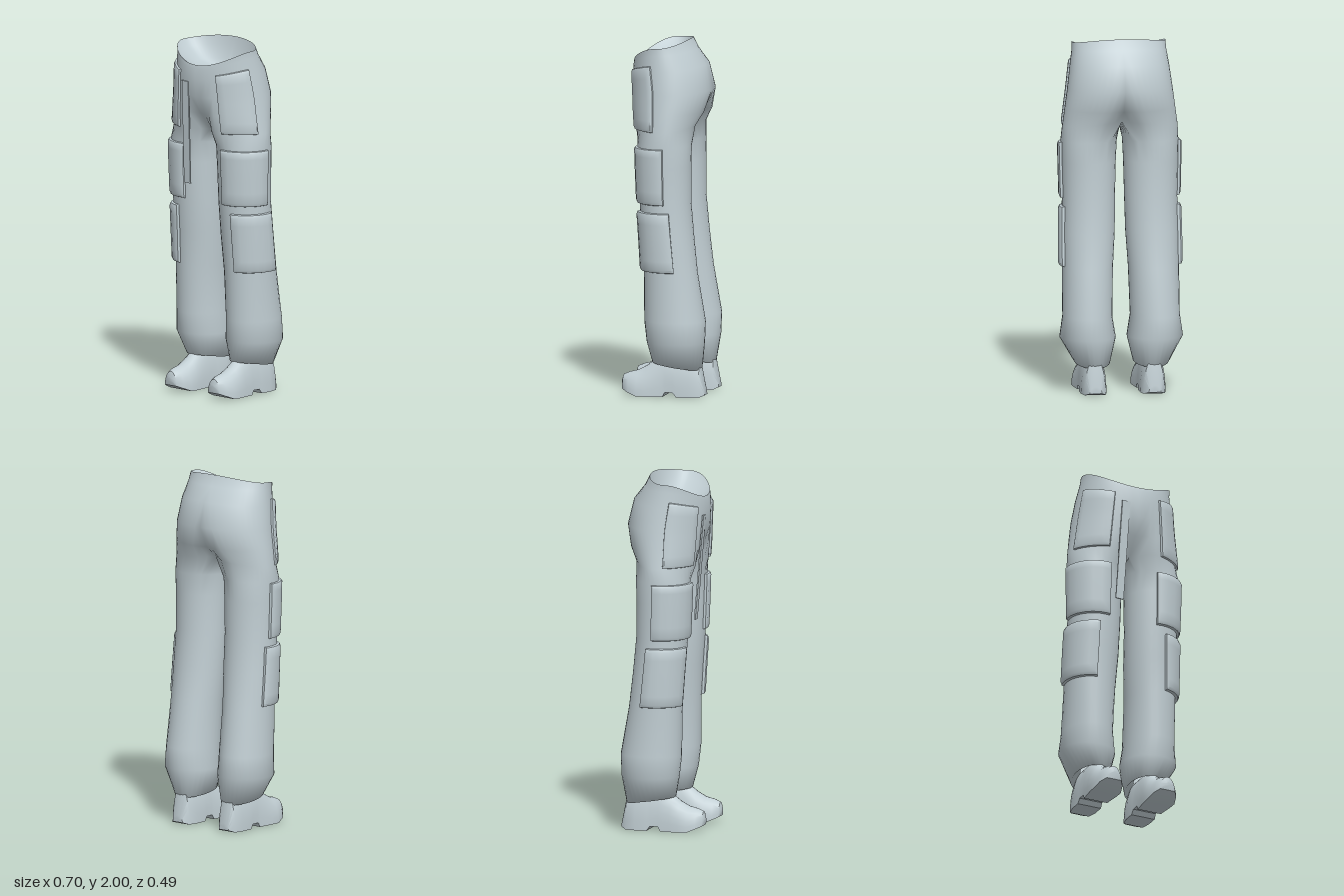
import * as THREE from 'three';
import { mergeGeometries, mergeVertices, toCreasedNormals } from 'three/addons/utils/BufferGeometryUtils.js';

// Torso sections: y front/side/back, half width, z front/side/back, pinch at the centre line
const TORSO = [
  [1.88, 1.97, 2.0, 0.265, 0.205, 0.03, -0.11, 0],
  [1.86, 1.93, 1.94, 0.266, 0.21, 0.02, -0.14, 0],
  [1.8, 1.84, 1.86, 0.28, 0.215, 0, -0.205, 0],
  [1.7, 1.71, 1.72, 0.297, 0.21, -0.02, -0.24, 0],
  [1.6, 1.6, 1.6, 0.312, 0.205, -0.02, -0.22, 0.18],
  [1.5, 1.5, 1.53, 0.326, 0.195, -0.02, -0.18, 0.5],
];
// Leg sections: y front/back, centre x, half width, z front/back
const LEG = [
  [1.42, 1.42, 0.174, 0.158, 0.152, -0.152],
  [1.3, 1.3, 0.176, 0.154, 0.148, -0.15],
  [1.1, 1.1, 0.176, 0.149, 0.14, -0.15],
  [0.9, 0.9, 0.18, 0.149, 0.125, -0.168],
  [0.7, 0.7, 0.187, 0.143, 0.112, -0.19],
  [0.43, 0.43, 0.191, 0.139, 0.11, -0.238],
  [0.31, 0.31, 0.19, 0.158, 0.095, -0.232],
  [0.19, 0.15, 0.166, 0.1, 0.07, -0.212],
  [0.23, 0.22, 0.166, 0.05, 0.02, -0.15],
];
const LAST_TORSO = TORSO.length - 1;
const lerp = THREE.MathUtils.lerp;

// u runs 0..1 from front round the outside to the back, 1..4/3 along the inner leg
function torsoPoint([yF, yS, yB, rx, zF, zS, zB, pinch], u) {
  const a = Math.PI * Math.min(u, 1), c = Math.cos(a);
  const x = u >= 1 ? 0 : rx * Math.sin(a);
  const k = 1 - pinch * Math.exp(-((x / 0.07) ** 2));
  const front = zS + (zF - zS) * (1 - pinch), back = zS + (zB - zS) * (1 - pinch);
  if (u > 1) return new THREE.Vector3(0, lerp(yB, yF, (u - 1) * 3), lerp(back, front, (u - 1) * 3));
  const z = zS + (c > 0 ? zF - zS : zS - zB) * c * k;
  return new THREE.Vector3(x, yS + ((c > 0 ? yF : yB) - yS) * c * c, z);
}

function legPoint([yF, yB, cx, rx, zF, zB], u) {
  const a = (-45 + 270 * u) * Math.PI / 180, c = Math.cos(a);
  return new THREE.Vector3(cx + rx * Math.sin(a), lerp(yB, yF, (c + 1) / 2), lerp(zB, zF, (c + 1) / 2));
}

const sectionPoint = (i, u) => (i <= LAST_TORSO ? torsoPoint(TORSO[i], u) : legPoint(LEG[i - LAST_TORSO - 1], u));

// Point on the cloth at fractional section k, pushed outward by an offset
function clothPoint(k, u, offset) {
  const i = Math.floor(k), p = sectionPoint(i, u);
  if (k > i) p.lerp(sectionPoint(i + 1, u), k - i);
  const onLeg = k > LAST_TORSO;
  const centre = new THREE.Vector3(onLeg ? 0.18 : 0.05, p.y, onLeg ? -0.02 : 0);
  return p.add(p.clone().sub(centre).normalize().multiplyScalar(offset));
}

// Surface through a grid of points; side = -1 mirrors it
function gridGeometry(rows, side = 1, keep = () => true) {
  const n = rows[0].length, index = [];
  const pos = rows.flat().flatMap((p) => [p.x * side, p.y, p.z]);
  for (let r = 0; r < rows.length - 1; r++) {
    for (let c = 0; c < n - 1; c++) {
      if (!keep(r, c)) continue;
      const a = r * n + c, b = a + 1, d = a + n, e = d + 1;
      if (side > 0) index.push(a, d, b, b, d, e);
      else index.push(a, b, d, b, e, d);
    }
  }
  const g = new THREE.BufferGeometry();
  g.setAttribute('position', new THREE.Float32BufferAttribute(pos, 3));
  g.setIndex(index);
  return g;
}

// Raised pocket panel following the cloth, with turned-down edges
function pocketGeometry(side, k0, k1, u0, u1, height) {
  const steps = [0, 0.015, 0.06, 0.2, 0.35, 0.5, 0.65, 0.8, 0.94, 0.985, 1];
  const edge = (t) => (t === 0 || t === 1 ? 0 : t < 0.03 || t > 0.97 ? 0.75 : 1);
  const rows = steps.map((r) => steps.map((c) =>
    clothPoint(lerp(k0, k1, r), lerp(u0, u1, c), -0.006 + (height + 0.006) * Math.min(edge(r), edge(c)))));
  return toCreasedNormals(gridGeometry(rows, side), 0.7);
}

// Shoe sections: z, half width, sole y, top y
const SHOE = [
  [0.245, 0.015, 0.065, 0.085],
  [0.235, 0.045, 0.035, 0.115],
  [0.2, 0.07, 0.02, 0.13],
  [0.15, 0.083, 0, 0.142],
  [0.1, 0.082, 0, 0.17],
  [0.05, 0.077, 0, 0.21],
  [0.0, 0.072, 0, 0.24],
  [-0.015, 0.07, 0.026, 0.24],
  [-0.06, 0.07, 0.026, 0.24],
  [-0.08, 0.072, 0, 0.24],
  [-0.15, 0.072, 0, 0.24],
  [-0.205, 0.06, 0, 0.21],
  [-0.235, 0.035, 0.012, 0.05],
];

function shoeGeometry(side) {
  const rows = SHOE.map(([z, w, y0, y1]) => {
    const ring = [];
    for (let i = 0; i <= 14; i++) {
      const a = Math.PI * i / 14;
      ring.push(new THREE.Vector3(0.167 + w * Math.cos(a), lerp(y0, y1, Math.sin(a)), z));
    }
    ring.push(ring[0].clone());
    return ring;
  });
  const cap = (row) => row.map(() => new THREE.Vector3(0.167, (row[0].y + row[7].y) / 2, row[0].z));
  rows.unshift(cap(rows[0]));
  rows.push(cap(rows[rows.length - 1]));
  return toCreasedNormals(gridGeometry(rows, -side), 0.7).scale(-1, 1, 1);
}

export function createModel() {
  const model = new THREE.Group();
  model.name = 'cargoTrousersAndShoes';
  const cloth = new THREE.MeshStandardMaterial({ color: 0xc1ced3, side: THREE.DoubleSide });
  cloth.name = 'paleGrey';
  const add = (name, geometry) => {
    const mesh = new THREE.Mesh(geometry, cloth);
    mesh.name = name;
    model.add(mesh);
    return mesh;
  };

  // Trousers: two mirrored halves welded along the centre line
  const OUTER = 24, INNER = 8;
  const us = [];
  for (let i = 0; i <= OUTER; i++) us.push(i / OUTER);
  for (let i = 1; i <= INNER; i++) us.push(1 + i / INNER / 3);
  const rows = [];
  for (let i = 0; i < TORSO.length + LEG.length; i++) rows.push(us.map((u) => sectionPoint(i, u)));
  const keep = (r, c) => r >= LAST_TORSO || c < OUTER;
  const trousers = mergeVertices(mergeGeometries([gridGeometry(rows, 1, keep), gridGeometry(rows, -1, keep)]), 1e-4);
  trousers.computeVertexNormals();
  add('trousers', trousers);

  // Lining sagging inside the waist
  const dish = [[0, 0], [0.12, 0.3], [0.4, 0.75], [0.75, 0.95], [1, 1]];
  const liningRows = dish.map(([f, drop]) => us.slice(0, OUTER + 1).map((u) => {
    const p = sectionPoint(0, u);
    return new THREE.Vector3(p.x * (1 - f), lerp(p.y, 1.83, drop), lerp(p.z, -0.01, f));
  }));
  const lining = mergeVertices(mergeGeometries([gridGeometry(liningRows, -1), gridGeometry(liningRows, 1)]), 1e-4);
  lining.computeVertexNormals();
  add('waistLining', lining);

  // Pockets and shoes on both sides
  for (const [label, side] of [['left', 1], ['right', -1]]) {
    add(label + 'HandPocket', pocketGeometry(side, 1.6, 5, 0.16, 0.42, 0.016));
    add(label + 'ThighPocket', pocketGeometry(side, 6.08, 8.05, 0.122, 0.537, 0.02));
    add(label + 'KneePocket', pocketGeometry(side, 8.25, 9.95, 0.2, 0.574, 0.022));
    add(label + 'Shoe', shoeGeometry(side));
  }

  // Hanging waist strap
  const top = new THREE.Vector3(-0.078, 1.78, 0.21), end = new THREE.Vector3(-0.1, 1.19, 0.168);
  const strap = add('waistStrap', new THREE.BoxGeometry(0.048, top.distanceTo(end), 0.008));
  strap.position.lerpVectors(top, end, 0.5);
  strap.quaternion.setFromUnitVectors(new THREE.Vector3(0, 1, 0), top.clone().sub(end).normalize());

  return model;
}
